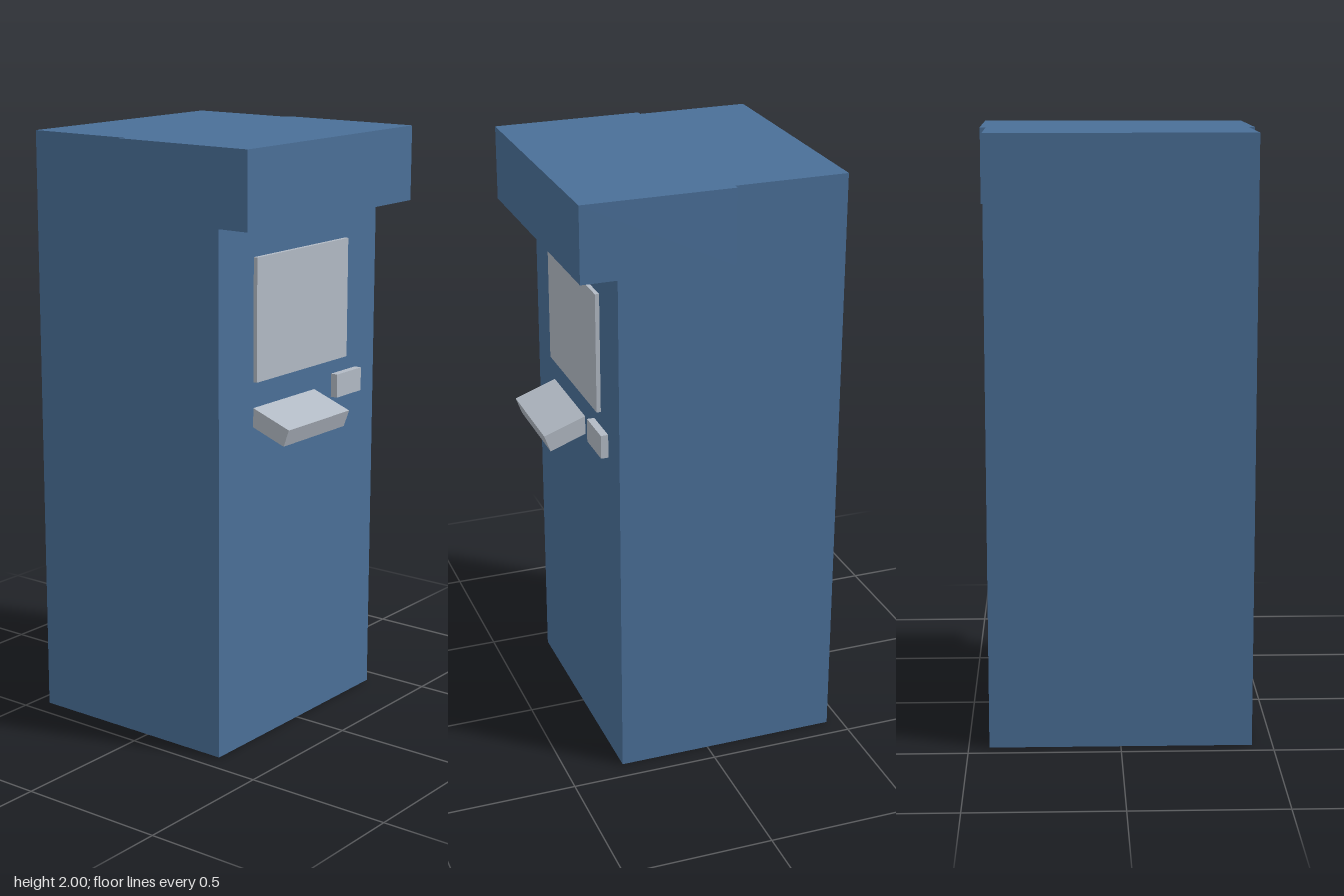
import * as THREE from 'three';

export function createModel() {
  const model = new THREE.Group();
  model.name = 'kiosk';

  const blue = new THREE.MeshStandardMaterial({ color: 0x4a6f98 });
  blue.name = 'cabinet blue';
  const grey = new THREE.MeshStandardMaterial({ color: 0xb2bac4 });
  grey.name = 'panel grey';

  const add = (name, geometry, material) => {
    const mesh = new THREE.Mesh(geometry, material);
    mesh.name = name;
    model.add(mesh);
    return mesh;
  };

  // Box given by its limits on each axis
  const block = (name, material, [x0, x1], [y0, y1], [z0, z1]) => {
    const mesh = add(name, new THREE.BoxGeometry(x1 - x0, y1 - y0, z1 - z0), material);
    mesh.position.set((x0 + x1) / 2, (y0 + y1) / 2, (z0 + z1) / 2);
    return mesh;
  };

  const halfWidth = 0.432, faceZ = 0.308;

  // Tall cabinet
  block('cabinet', blue, [-halfWidth, halfWidth], [0, 2], [-0.45, faceZ]);

  // Canopy wrapping the front and sides of the cabinet top (plan: x, -z)
  const outer = 0.452, front = -0.434, back = 0.072;
  const plan = new THREE.Shape([
    [-outer, front], [outer, front], [outer, back], [halfWidth, back],
    [halfWidth, -faceZ], [-halfWidth, -faceZ], [-halfWidth, back], [-outer, back],
  ].map(([x, y]) => new THREE.Vector2(x, y)));
  const canopyGeometry = new THREE.ExtrudeGeometry(plan, { depth: 0.25, bevelEnabled: false });
  canopyGeometry.rotateX(-Math.PI / 2);
  add('canopy', canopyGeometry, blue).position.y = 1.75;

  // Screen and card reader on the front face
  block('screen', grey, [-0.253, 0.25], [1.232, 1.636], [0.29, 0.322]);
  block('cardReader', grey, [0.18, 0.322], [1.102, 1.182], [0.29, 0.333]);

  // Keypad shelf, tilted down towards the user
  const keypad = add('keypad', new THREE.BoxGeometry(0.336, 0.06, 0.2), grey);
  keypad.position.set(-0.085, 1.101, 0.346);
  keypad.rotation.x = THREE.MathUtils.degToRad(20);

  return model;
}
